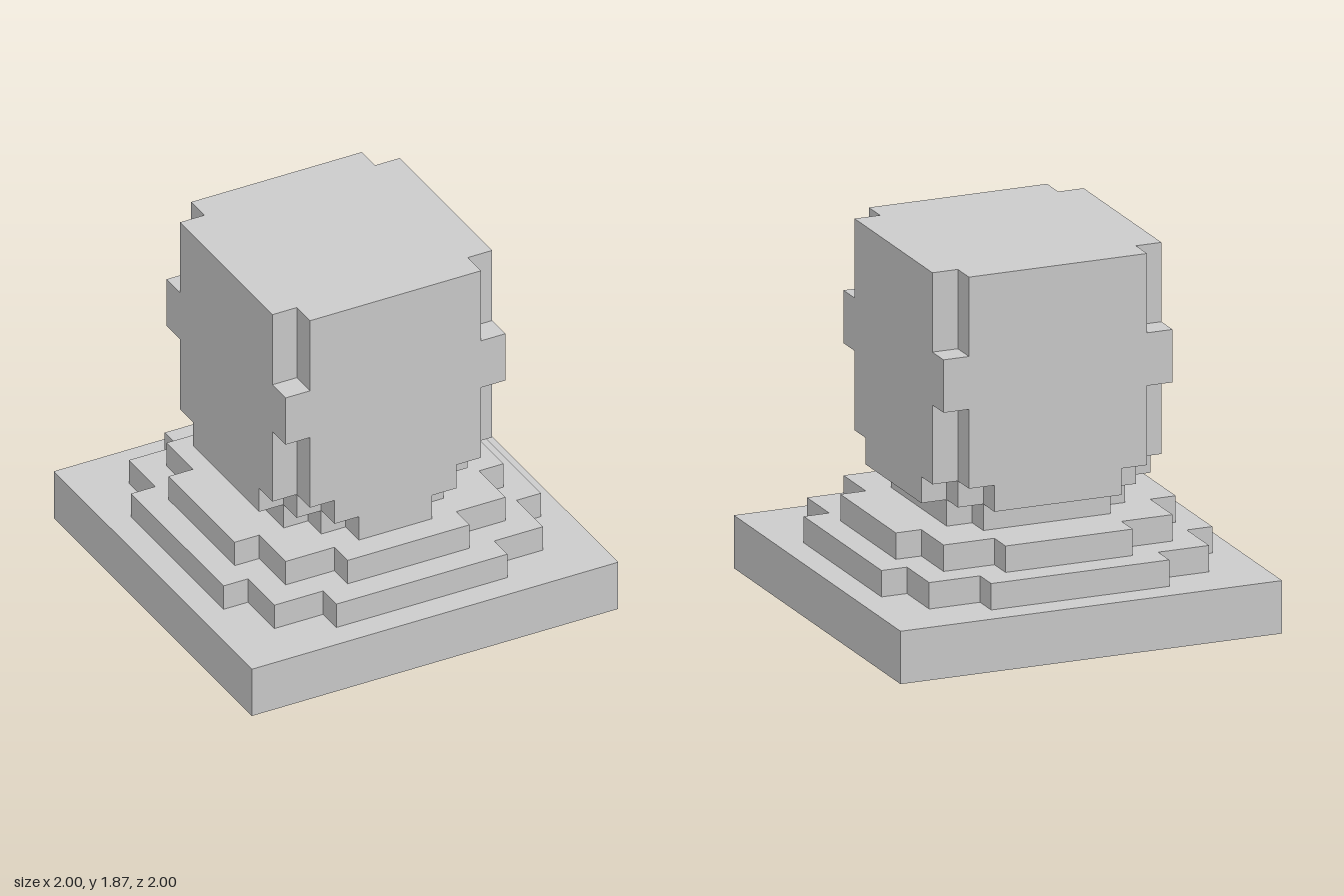
import * as THREE from 'three';

const U = 2 / 15; // one block

const material = new THREE.MeshStandardMaterial({ color: 0xcccccc, flatShading: true });

// Stepped plan with four-fold symmetry; steps are the outer corners of one quarter, in blocks
function steppedPlan(steps) {
  const quarter = [];
  steps.forEach(([x, y], i) => {
    if (i > 0) quarter.push([x, steps[i - 1][1]]); // inner corner
    quarter.push([x, y]);
  });
  const points = [];
  for (let q = 0; q < 4; q++) {
    for (const [x, y] of quarter) {
      points.push(new THREE.Vector2(x * U, y * U).rotateAround(new THREE.Vector2(), q * Math.PI / 2));
    }
  }
  return new THREE.Shape(points);
}

// Upright layer from block row y0 to y1
function layer(name, y0, y1, steps) {
  const geometry = new THREE.ExtrudeGeometry(steppedPlan(steps), { depth: (y1 - y0) * U, bevelEnabled: false });
  geometry.rotateX(-Math.PI / 2);
  geometry.translate(0, y0 * U, 0);
  const mesh = new THREE.Mesh(geometry, material);
  mesh.name = name;
  return mesh;
}

export function createModel() {
  const model = new THREE.Group();
  model.name = 'blockBust';

  // Square plinth and two stepped tiers
  const pedestal = new THREE.Group();
  pedestal.name = 'pedestal';
  pedestal.add(
    layer('plinth', 0, 2, [[7.5, 7.5]]),
    layer('lowerTier', 2, 3, [[6.5, 3.5], [5.5, 5.5], [3.5, 6.5]]),
    layer('upperTier', 3, 4, [[5.5, 2.5], [4.5, 4.5], [2.5, 5.5]]),
  );

  // Head: notched corners above and below a full square band
  const head = new THREE.Group();
  head.name = 'head';
  const notched = [[4.5, 3.5], [3.5, 4.5]];
  head.add(
    layer('neck', 4, 5, [[3.5, 2.5], [2.5, 3.5]]),
    layer('jaw', 5, 6, [[4.5, 2.5], [3.5, 3.5], [2.5, 4.5]]),
    layer('lowerHead', 6, 9, notched),
    layer('middleBand', 9, 11, [[4.5, 4.5]]),
    layer('upperHead', 11, 14, notched),
  );

  // Chin juts forward of the neck
  const chin = new THREE.Mesh(new THREE.BoxGeometry(3 * U, U, U), material);
  chin.name = 'chin';
  chin.position.set(0, 4.5 * U, 4 * U);
  head.add(chin);

  model.add(pedestal, head);
  return model;
}
